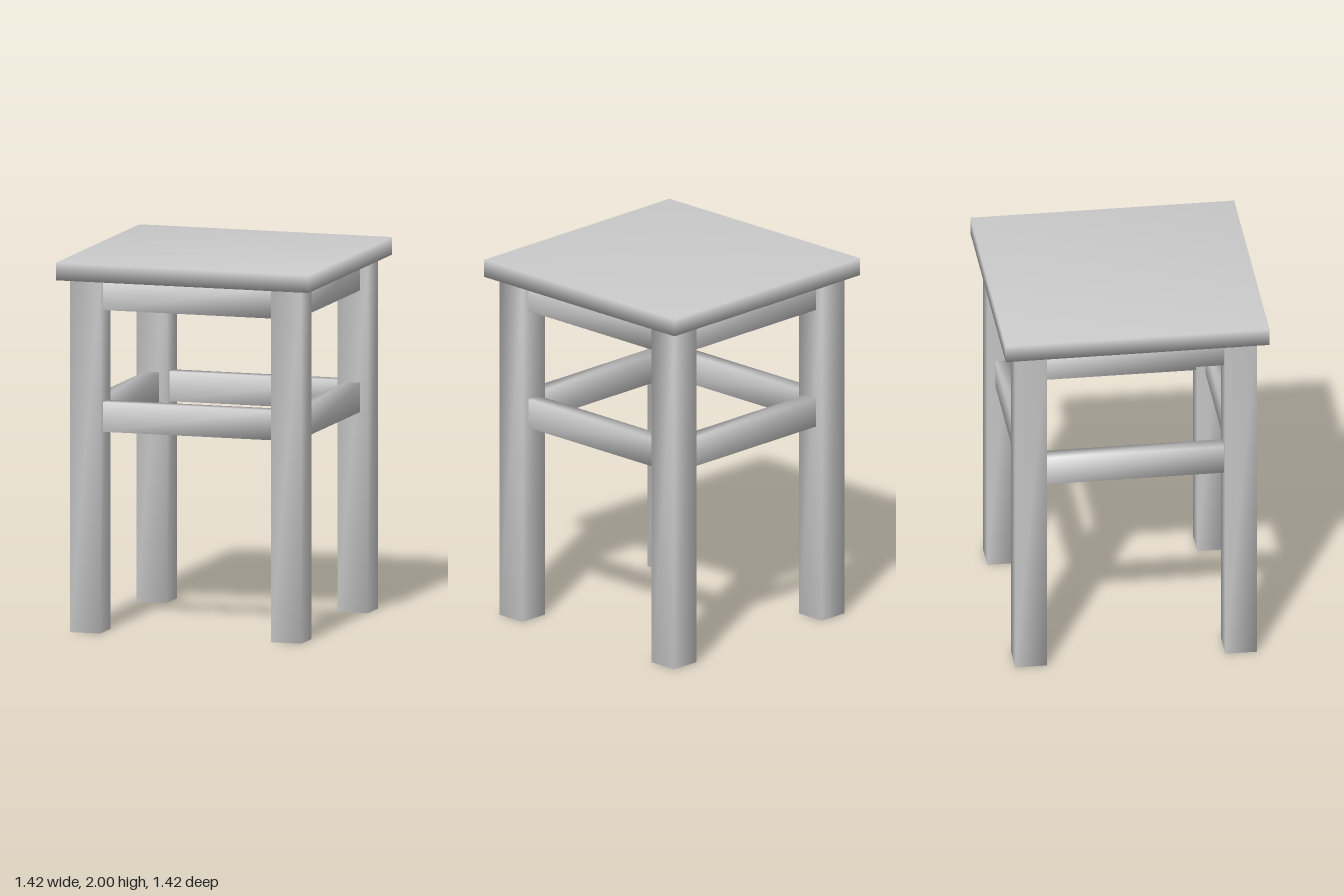
import * as THREE from 'three';
import { mergeVertices } from 'three/addons/utils/BufferGeometryUtils.js';

const material = new THREE.MeshStandardMaterial({ color: 0xcccccc });

// Box whose corners share one averaged normal, for soft shading
function softBox(name, w, h, d, x, y, z) {
  let geometry = new THREE.BoxGeometry(w, h, d);
  geometry.deleteAttribute('normal');
  geometry.deleteAttribute('uv');
  geometry = mergeVertices(geometry);
  geometry.computeVertexNormals();
  const mesh = new THREE.Mesh(geometry, material);
  mesh.name = name;
  mesh.position.set(x, y, z);
  return mesh;
}

export function createModel() {
  const stool = new THREE.Group();
  stool.name = 'stool';

  const seatBottom = 1.905, seatSize = 1.42;
  const legSize = 0.17, legCentre = 0.565;
  const railLength = 2 * legCentre - legSize, railHeight = 0.16, railDepth = 0.08;

  // Square seat
  stool.add(softBox('seat', seatSize, 2 - seatBottom, seatSize, 0, (2 + seatBottom) / 2, 0));

  // Four square legs
  for (const [xName, sx] of [['Left', 1], ['Right', -1]]) {
    for (const [zName, sz] of [['front', 1], ['back', -1]]) {
      stool.add(softBox(`${zName}${xName}Leg`, legSize, seatBottom, legSize,
        sx * legCentre, seatBottom / 2, sz * legCentre));
    }
  }

  // Aprons under the seat and stretchers at mid height, one of each per side
  const sides = ['front', 'left', 'back', 'right'];
  sides.forEach((side, i) => {
    const group = new THREE.Group();
    group.name = `${side}Rails`;
    group.rotation.y = i * Math.PI / 2;
    group.add(
      softBox(`${side}Apron`, railLength, seatBottom - 1.74, railDepth, 0, (seatBottom + 1.74) / 2, legCentre),
      softBox(`${side}Stretcher`, railLength, railHeight, railDepth, 0, 1.163, legCentre)
    );
    stool.add(group);
  });

  return stool;
}
